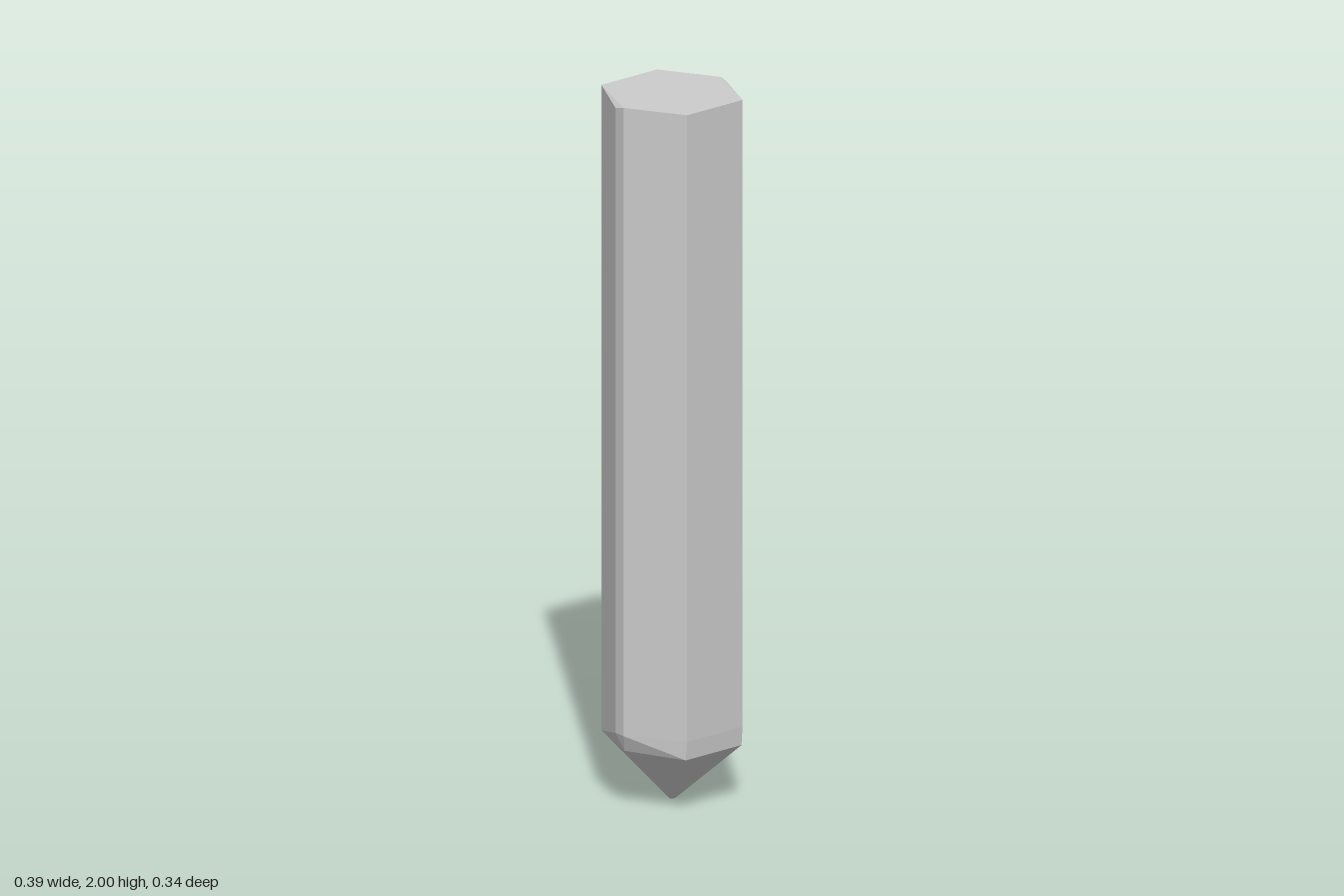
import * as THREE from 'three';
import { ConvexGeometry } from 'three/addons/geometries/ConvexGeometry.js';

export function createModel() {
  const group = new THREE.Group();
  group.name = 'hexagonalSpike';
  const points = [];
  // Adds one [x, z] outline at a height given by a number or a rule of z
  const ring = (outline, height) => {
    for (const [x, z] of outline) {
      points.push(new THREE.Vector3(x, typeof height === 'number' ? height : height(z), z));
    }
  };

  // Slightly tilted hexagonal top
  const top = [[-0.104, -0.168], [0.102, -0.168], [0.193, -0.01], [0.102, 0.17], [-0.104, 0.17], [-0.193, 0.015]];
  ring(top, (z) => 1.995 - 0.03 * z);

  // Shaft outline with narrow chamfers on the side corners
  const shaft = [
    [-0.104, -0.168], [0.095, -0.172], [0.102, -0.168], [0.193, -0.01], [0.191, 0.015],
    [0.102, 0.17], [-0.104, 0.17], [-0.193, 0.015], [-0.188, -0.022],
  ];
  ring(shaft, 1.985);
  ring(shaft, 0.22);

  // Shoulder where the shaft turns into the point
  const shoulder = [[-0.104, -0.168], [0.102, -0.168], [0.176, 0], [0.102, 0.166], [-0.104, 0.166], [-0.176, 0]];
  ring(shoulder, (z) => 0.172 - 0.03 * z);

  // Small blunt tip
  ring(shoulder.map(([x, z]) => [x * 0.05, z * 0.05]), 0.003);
  ring([[0, 0]], 0);

  const material = new THREE.MeshStandardMaterial({ color: 0xcccccc, flatShading: true });
  const body = new THREE.Mesh(new ConvexGeometry(points), material);
  body.name = 'pointedShaft';
  group.add(body);
  return group;
}
